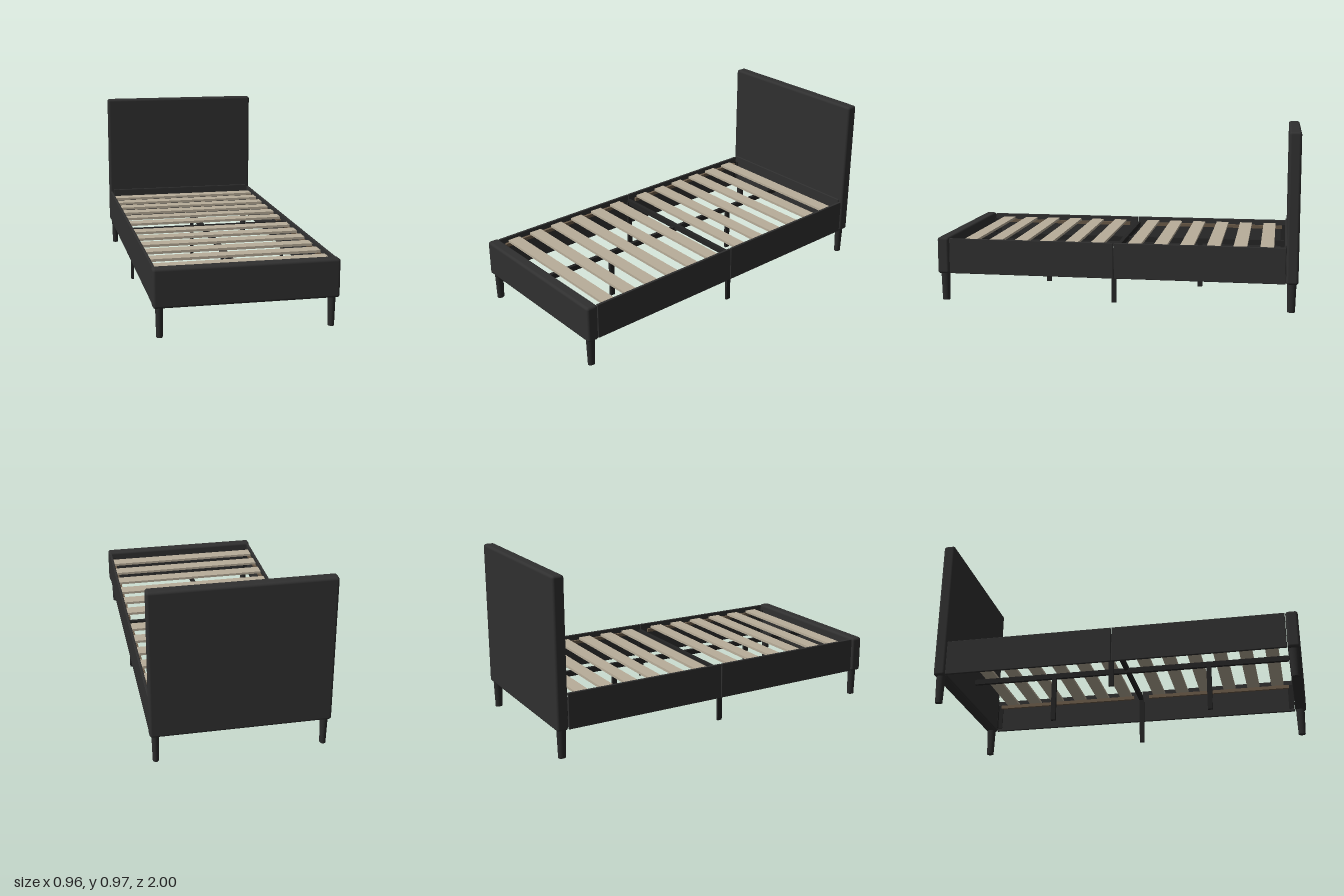
import * as THREE from 'three';
import { RoundedBoxGeometry } from 'three/addons/geometries/RoundedBoxGeometry.js';

const mat = (name, color) => {
  const m = new THREE.MeshStandardMaterial({ color });
  m.name = name;
  return m;
};

export function createModel() {
  const bed = new THREE.Group();
  bed.name = 'bedFrame';
  const fabric = mat('charcoal fabric', 0x303030);
  const metal = mat('black metal', 0x242424);
  const legMat = mat('dark leg', 0x2b2b2b);
  const wood = mat('pale slat wood', 0xb9ae9a);
  const ledgeMat = mat('brown ledge', 0x6b5b49);

  const add = (name, geometry, material, x, y, z) => {
    const mesh = new THREE.Mesh(geometry, material);
    mesh.name = name;
    mesh.position.set(x, y, z);
    bed.add(mesh);
    return mesh;
  };
  const box = (name, material, w, h, d, x, y, z) =>
    add(name, new THREE.BoxGeometry(w, h, d), material, x, y, z);

  // Padded end boards
  add('headboard', new RoundedBoxGeometry(0.958, 0.817, 0.065, 4, 0.014), fabric, 0, 0.5635, -0.9675);
  add('footboard', new RoundedBoxGeometry(0.964, 0.205, 0.065, 4, 0.014), fabric, 0, 0.2575, 0.9675);

  // Lower mounting panel on the inner face of the headboard
  add('headboardPanel', new RoundedBoxGeometry(0.91, 0.21, 0.01, 2, 0.004), fabric, 0, 0.262, -0.932);

  for (const s of [-1, 1]) {
    for (const e of [-1, 1]) {
      // Side rails in two halves, with a narrow seam in the middle
      add('sideRail', new RoundedBoxGeometry(0.014, 0.198, 0.93, 2, 0.003), fabric, s * 0.469, 0.256, e * 0.467);
      // Ledge carrying the slat ends
      box('slatLedge', ledgeMat, 0.016, 0.02, 0.86, s * 0.454, 0.312, e * 0.478);
      // Bracket joining rail and end board
      box('cornerBracket', metal, 0.025, 0.15, 0.006, s * 0.45, 0.25, e * 0.929);
      box('cornerBracketPlate', metal, 0.005, 0.15, 0.03, s * 0.459, 0.25, e * 0.915);
      // Tapered corner leg
      const leg = add('cornerLeg', new THREE.CylinderGeometry(0.0255, 0.0205, 0.16, 24), legMat, s * 0.447, 0.08, e * 0.965);
      leg.scale.x = 0.8;
    }
    // Middle leg against each rail
    box('sideSupportLeg', metal, 0.014, 0.29, 0.027, s * 0.455, 0.165, 0);
  }

  // Centre beam, cross bar and centre legs
  box('centreBeam', metal, 0.02, 0.03, 1.85, -0.017, 0.292, 0.004);
  box('crossBar', metal, 0.924, 0.03, 0.022, 0, 0.308, -0.004);
  for (const z of [0.475, -0.435])
    box('centreLeg', metal, 0.018, 0.265, 0.027, -0.017, 0.1525, z);

  // Slats, six on each half
  for (const start of [-0.83, 0.11])
    for (let i = 0; i < 6; i++)
      box('slat', wood, 0.92, 0.014, 0.074, 0, 0.329, start + i * 0.146);

  return bed;
}
